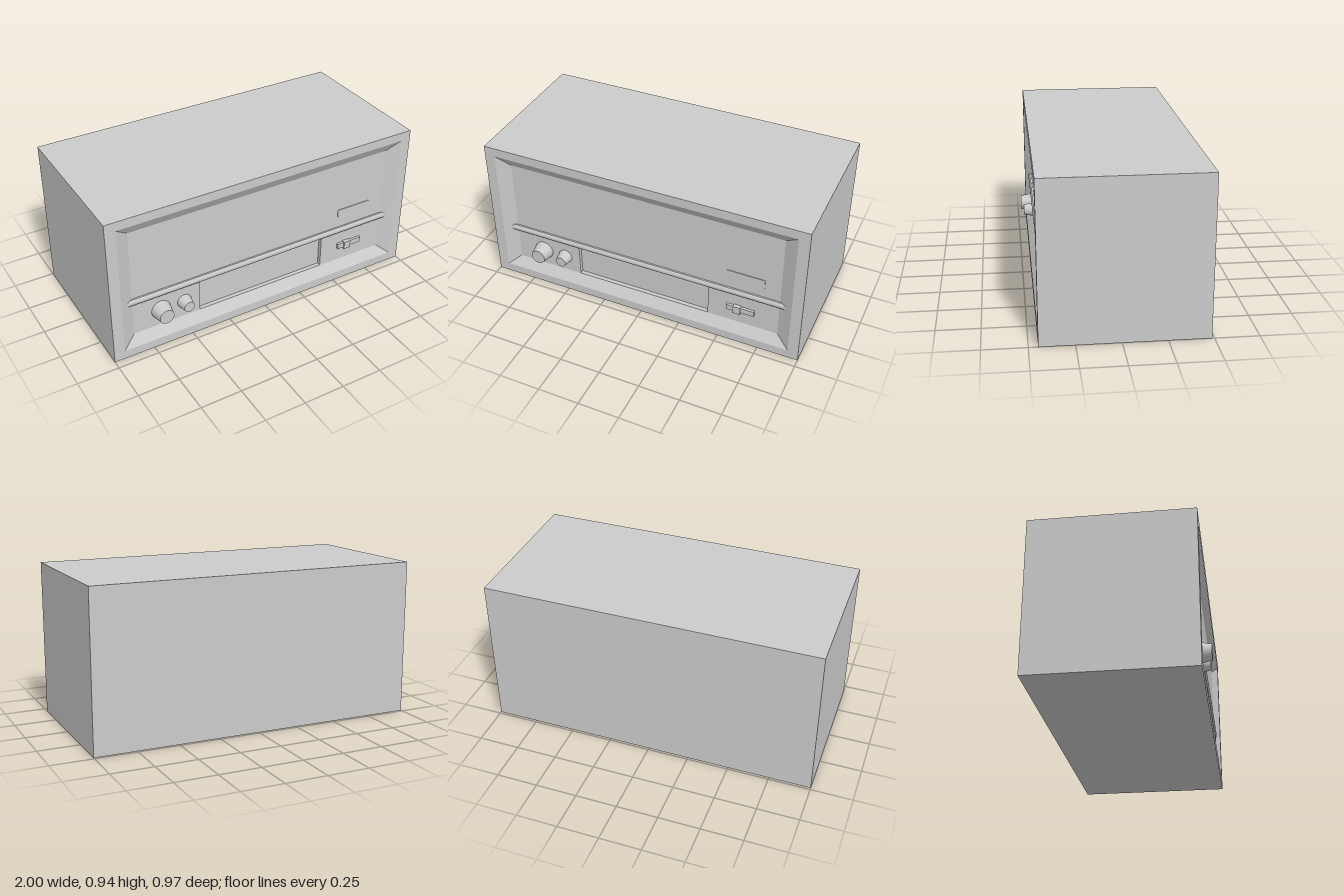
import * as THREE from 'three';

const FLOOR_Z = 0.408; // recessed front panel
const FRONT_Z = 0.448; // rim of the case

const material = new THREE.MeshStandardMaterial({ color: 0xcccccc });

function add(group, name, geometry, x = 0, y = 0, z = 0) {
  const mesh = new THREE.Mesh(geometry, material);
  mesh.name = name;
  mesh.position.set(x, y, z);
  group.add(mesh);
  return mesh;
}

// Joins rectangles [x0, x1, y0, y1, z] in order; caps the last and optionally the first.
function rectLoft(rects, capStart) {
  const pos = [];
  const rings = rects.map(([x0, x1, y0, y1, z]) =>
    [[x0, y0, z], [x1, y0, z], [x1, y1, z], [x0, y1, z]]);
  const quad = (a, b, c, d) => pos.push(...a, ...b, ...c, ...a, ...c, ...d);
  for (let r = 0; r < rings.length - 1; r++) {
    const [a, b] = [rings[r], rings[r + 1]];
    for (let i = 0; i < 4; i++) {
      const j = (i + 1) % 4;
      quad(a[i], a[j], b[j], b[i]);
    }
  }
  if (capStart) quad(...[...rings[0]].reverse());
  return { pos, quad, last: rings[rings.length - 1] };
}

function toGeometry(pos) {
  const g = new THREE.BufferGeometry();
  g.setAttribute('position', new THREE.Float32BufferAttribute(pos, 3));
  g.computeVertexNormals();
  return g;
}

function rectPath(path, [x0, x1, y0, y1]) {
  path.moveTo(x0, y0);
  path.lineTo(x1, y0);
  path.lineTo(x1, y1);
  path.lineTo(x0, y1);
  path.closePath();
  return path;
}

export function createModel() {
  const group = new THREE.Group();
  group.name = 'tabletopRadio';

  // Case with a flat rim and sloping walls down to the front panel
  const inner = [-0.855, 0.855, 0.12, 0.815];
  const shell = rectLoft([
    [-1, 1, 0, 0.935, -0.487],
    [-1, 1, 0, 0.935, FRONT_Z],
    [-0.935, 0.935, 0.055, 0.88, FRONT_Z],
    [...inner, FLOOR_Z],
  ], true);
  add(group, 'case', toGeometry(shell.pos));

  // Front panel with an opening for the sunken dial
  const opening = [-0.43, 0.42, 0.122, 0.34];
  const panel = rectPath(new THREE.Shape(), inner);
  panel.holes.push(rectPath(new THREE.Path(), opening));
  add(group, 'frontPanel', new THREE.ShapeGeometry(panel), 0, 0, FLOOR_Z);

  const dial = rectLoft([[...opening, FLOOR_Z], [...opening, FLOOR_Z - 0.025]], false);
  dial.quad(...dial.last);
  add(group, 'sunkenDial', toGeometry(dial.pos));

  // Slightly bowed trim strip across the panel, running into the side walls
  const profile = new THREE.Shape();
  profile.moveTo(0, 0.33);
  profile.lineTo(-0.03, 0.33);
  profile.lineTo(-0.03, 0.37);
  profile.lineTo(0, 0.37);
  profile.lineTo(0.01, 0.37);
  profile.quadraticCurveTo(0.028, 0.35, 0.01, 0.33);
  profile.closePath();
  const strip = new THREE.ExtrudeGeometry(profile, { depth: 1.8, bevelEnabled: false, curveSegments: 8 });
  strip.rotateY(-Math.PI / 2); // profile x becomes z, length runs along -x
  add(group, 'trimStrip', strip, 0.9, 0, FLOOR_Z);

  // Tapered knobs: [name, x, base radius, front radius, front z]
  for (const [name, x, rBase, rFront, zFront] of [
    ['largeKnob', -0.68, 0.06, 0.045, 0.487],
    ['smallKnob', -0.53, 0.045, 0.033, 0.472],
  ]) {
    const depth = zFront - FLOOR_Z;
    const knob = new THREE.CylinderGeometry(rFront, rBase, depth, 32);
    knob.rotateX(Math.PI / 2);
    add(group, name, knob, x, 0.225, FLOOR_Z + depth / 2);
  }

  // Slide switch and thin plate on the right of the panel
  add(group, 'switchBar', new THREE.BoxGeometry(0.17, 0.034, 0.016), 0.625, 0.227, FLOOR_Z + 0.008);
  add(group, 'switchTab', new THREE.BoxGeometry(0.045, 0.05, 0.024), 0.605, 0.225, FLOOR_Z + 0.012);
  add(group, 'namePlate', new THREE.BoxGeometry(0.23, 0.06, 0.004), 0.645, 0.465, FLOOR_Z + 0.002);

  return group;
}
